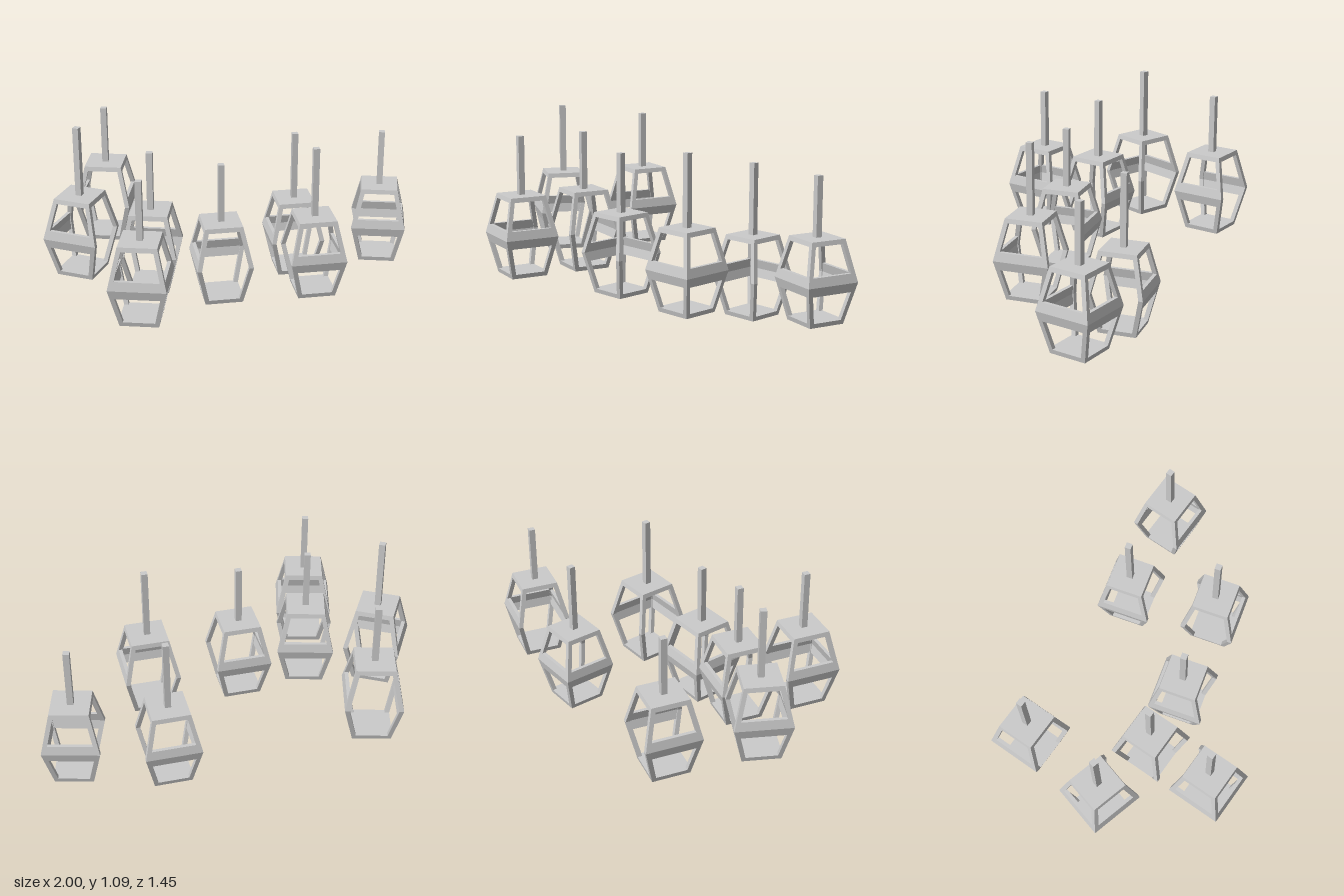
import * as THREE from 'three';

const HEIGHT = 0.458, MID = HEIGHT / 2;   // lantern body
const END = 0.105, WAIST = 0.156;         // half widths at the ends and the middle
const PLATE = 0.025, STRUT = 0.025, BAND = 0.05, BAND_THICK = 0.02;

const material = new THREE.MeshStandardMaterial({ color: 0xcccccc, flatShading: true, side: THREE.DoubleSide });

// Half width of the body at a given height
const halfWidth = (y) => WAIST - (WAIST - END) * Math.abs(y - MID) / MID;

// Horizontal rectangle, counter-clockwise seen from above
function rect(xa, xb, za, zb, y) {
  const x0 = Math.min(xa, xb), x1 = Math.max(xa, xb);
  const z0 = Math.min(za, zb), z1 = Math.max(za, zb);
  return [[x0, y, z1], [x1, y, z1], [x1, y, z0], [x0, y, z0]];
}

// Closed solid through a stack of rectangles, lowest first
function loft(sections) {
  const pos = [];
  const quad = (a, b, c, d) => pos.push(...a, ...b, ...c, ...a, ...c, ...d);
  for (let s = 0; s < sections.length - 1; s++) {
    const lo = sections[s], hi = sections[s + 1];
    for (let i = 0; i < 4; i++) {
      const j = (i + 1) % 4;
      quad(lo[i], lo[j], hi[j], hi[i]);
    }
  }
  quad(...sections[sections.length - 1]);
  quad(...[...sections[0]].reverse());
  const geometry = new THREE.BufferGeometry();
  geometry.setAttribute('position', new THREE.Float32BufferAttribute(pos, 3));
  geometry.computeVertexNormals();
  return geometry;
}

const plateGeometry = (y0, y1) => loft([y0, y1].map((y) => {
  const w = halfWidth(y);
  return rect(-w, w, -w, w, y);
}));

const strutGeometry = (sx, sz) => loft([PLATE, MID, HEIGHT - PLATE].map((y) => {
  const o = halfWidth(y), i = o - STRUT;
  return rect(sx * i, sx * o, sz * i, sz * o, y);
}));

const bottomPlate = plateGeometry(0, PLATE);
const topPlate = plateGeometry(HEIGHT - PLATE, HEIGHT);
const struts = [[1, 1], [-1, 1], [1, -1], [-1, -1]].map(([sx, sz]) => strutGeometry(sx, sz));
const bandPanel = loft([MID - BAND, MID, MID + BAND].map((y) => {
  const o = halfWidth(y), w = o - STRUT;
  return rect(-w, w, o - BAND_THICK, o, y);
}));

const BAND_ANGLE = { front: 0, left: Math.PI / 2, back: Math.PI, right: -Math.PI / 2 };

// x, z, base height, top of rod, turn in degrees, sides carrying a band
const LANTERNS = [
  [-0.755, -0.39, 0.235, 1.02, 0, ['left', 'right']],
  [-0.81, 0.12, 0.24, 1.09, -15, ['right', 'front']],
  [-0.41, 0.177, 0.197, 0.985, 0, ['back']],
  [-0.41, 0.565, 0.197, 0.985, 0, ['left', 'right', 'front']],
  [-0.03, 0.13, 0.12, 0.91, 15, ['back', 'right']],
  [0.477, 0, 0.115, 0.97, 15, ['left', 'front']],
  [0.34, -0.5, 0, 0.86, 15, ['back', 'right']],
  [0.842, -0.573, 0.075, 0.86, 0, ['back', 'left', 'front']],
];

function createLantern(rodLength, bands) {
  const lantern = new THREE.Group();
  const add = (name, geometry) => {
    const mesh = new THREE.Mesh(geometry, material);
    mesh.name = name;
    lantern.add(mesh);
    return mesh;
  };
  add('bottomPlate', bottomPlate);
  add('topPlate', topPlate);
  struts.forEach((geometry) => add('cornerStrut', geometry));
  bands.forEach((side) => { add(side + 'Band', bandPanel).rotation.y = BAND_ANGLE[side]; });
  const rod = add('hangingRod', new THREE.BoxGeometry(0.034, rodLength, 0.034));
  rod.position.y = HEIGHT + rodLength / 2;
  return lantern;
}

export function createModel() {
  const model = new THREE.Group();
  model.name = 'hangingLanterns';
  LANTERNS.forEach(([x, z, base, top, turn, bands], i) => {
    const lantern = createLantern(top - base - HEIGHT, bands);
    lantern.name = 'lantern' + (i + 1);
    lantern.position.set(x, base, z);
    lantern.rotation.y = THREE.MathUtils.degToRad(turn);
    model.add(lantern);
  });
  return model;
}
